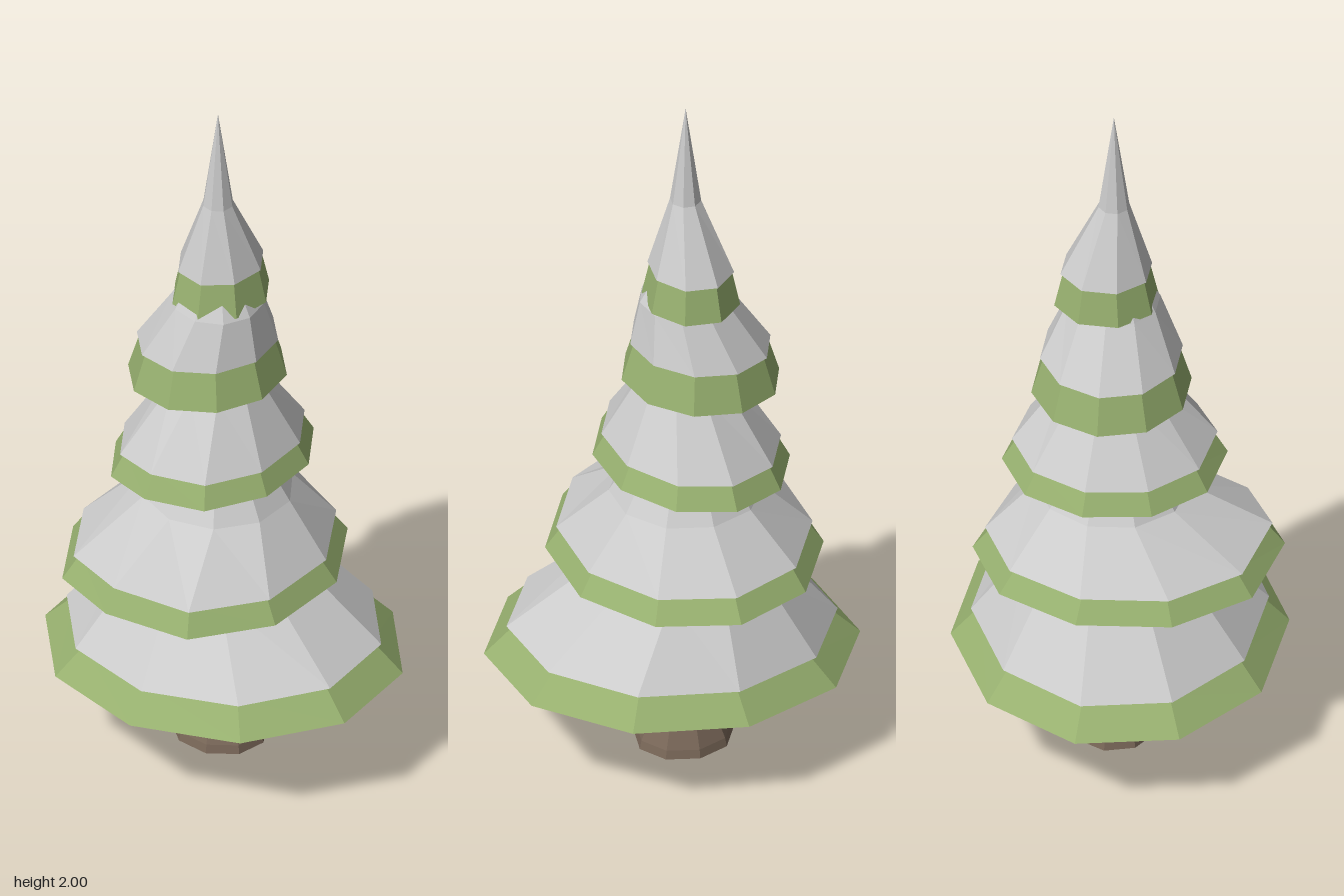
import * as THREE from 'three';

const material = (color) => new THREE.MeshStandardMaterial({ color, flatShading: true });

// Skins a stack of rings, bottom to top; a ring of radius 0 closes the end
function loft(name, rings, mat) {
  const pos = [];
  const same = (a, b) => a.distanceTo(b) < 1e-6;
  const tri = (a, b, c) => {
    if (!same(a, b) && !same(b, c) && !same(a, c)) pos.push(...a, ...b, ...c);
  };
  for (let k = 0; k < rings.length - 1; k++) {
    const lo = rings[k], hi = rings[k + 1], n = lo.length;
    for (let i = 0; i < n; i++) {
      const j = (i + 1) % n;
      tri(lo[i], hi[i], hi[j]);
      tri(lo[i], hi[j], lo[j]);
    }
  }
  const geo = new THREE.BufferGeometry();
  geo.setAttribute('position', new THREE.Float32BufferAttribute(pos, 3));
  geo.computeVertexNormals();
  const mesh = new THREE.Mesh(geo, mat);
  mesh.name = name;
  return mesh;
}

// Elliptical ring of corners; height(angle) sets the y of each corner
function ring(sides, phase, cx, cz, rx, rz, height) {
  return Array.from({ length: sides }, (_, i) => {
    const a = THREE.MathUtils.degToRad(phase) + (i / sides) * Math.PI * 2;
    return new THREE.Vector3(cx + rx * Math.cos(a), height(a), cz + rz * Math.sin(a));
  });
}

// Axis of the trunk and of the narrow upper part of each tier
const AXIS = { x: -0.033, z: -0.015 };

// y: rim height, tilt: rise towards +x, lift: raised front corner,
// rise and snow: height and scale of the snow edge, upper: snow rings [y, radius]
const TIERS = [
  { sides: 10, phase: -95, x: 0, z: 0, rx: 0.51, rz: 0.45, y: 0.293, tilt: 0.023, lift: 0,
    rise: 0.08, snow: 0.88, upper: [[0.58, 0.23], [0.8, 0.08]] },
  { sides: 10, phase: -90, x: -0.045, z: 0.025, rx: 0.365, rz: 0.415, y: 0.58, tilt: -0.005, lift: 0.035,
    rise: 0.065, snow: 0.92, upper: [[0.79, 0.205], [0.93, 0.12], [1.05, 0.05]] },
  { sides: 10, phase: -93, x: -0.05, z: -0.012, rx: 0.26, rz: 0.3, y: 0.888, tilt: 0.014, lift: 0.02,
    rise: 0.065, snow: 0.91, upper: [[1.15, 0.125], [1.3, 0.05]] },
  { sides: 10, phase: -100, x: -0.073, z: -0.02, rx: 0.215, rz: 0.215, y: 1.145, tilt: 0.015, lift: 0,
    rise: 0.11, snow: 0.89, upper: [[1.4, 0.125], [1.55, 0.04]] },
  { sides: 8, phase: -105, x: -0.04, z: -0.035, rx: 0.13, rz: 0.142, y: 1.405, tilt: 0.003, lift: 0,
    rise: 0.1, snow: 0.88, upper: [[1.71, 0.042], [2, 0]] },
];

function makeTier(t, index, needleMat, snowMat) {
  const rimHeight = (a) => t.y + t.tilt * Math.cos(a) + t.lift * Math.max(0, Math.sin(a)) ** 8;
  // rim outline scaled about its centre and raised
  const outline = (scale, up) => ring(t.sides, t.phase, t.x, t.z, t.rx * scale, t.rz * scale,
    (a) => (scale ? rimHeight(a) : t.y) + up);
  const round = ([y, r]) => ring(t.sides, t.phase, AXIS.x, AXIS.z, r, r, () => y);

  const group = new THREE.Group();
  group.name = `branchTier${index + 1}`;
  group.add(
    loft('needleSkirt',
      [outline(0, 0), outline(1, 0), outline(t.snow - 0.05, t.rise + 0.005), outline(0, t.rise + 0.03)], needleMat),
    loft('snowCap',
      [outline(0, t.rise), outline(t.snow, t.rise), ...t.upper.map(round)], snowMat),
  );
  return group;
}

export function createModel() {
  const tree = new THREE.Group();
  tree.name = 'snowyTree';
  const needleMat = material(0x97b06f);
  const snowMat = material(0xcccccc);

  // Trunk with flared foot
  const trunkProfile = [[0, 0], [0, 0.135], [0.025, 0.13], [0.14, 0.08], [0.34, 0.068], [0.34, 0]];
  const trunkRings = trunkProfile.map(([y, r]) => ring(9, -90, -0.027, -0.015, r, r * 0.9, () => y));
  tree.add(loft('trunk', trunkRings, material(0x7a6859)));

  // Five tiers of branches, each under a cap of snow
  TIERS.forEach((tier, i) => tree.add(makeTier(tier, i, needleMat, snowMat)));
  return tree;
}
